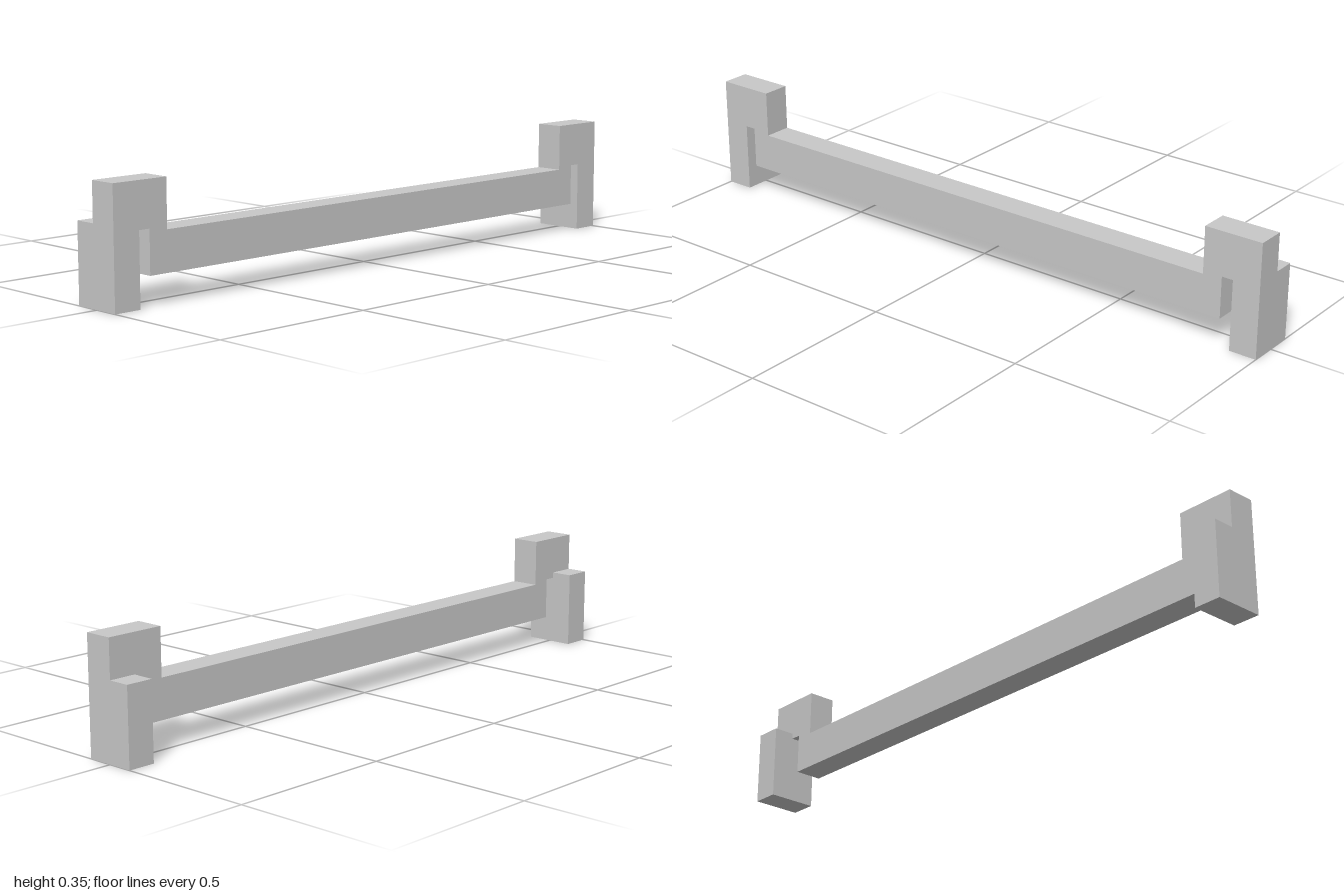
import * as THREE from 'three';

const FRONT = 0.078, STEP = -0.01, BACK = -0.078;

export function createModel() {
  const group = new THREE.Group();
  const grey = new THREE.MeshStandardMaterial({ color: 0xc8c8c8 });
  grey.name = 'lightGrey';

  // Right half of the frame outline: crossbar, slot, post and raised block
  const half = [
    [0.88, 0.087], [0.88, 0.215], [0.915, 0.215], [0.915, 0],
    [1, 0], [1, 0.349], [0.82, 0.349], [0.82, 0.206],
  ];
  const mirrored = half.map(([x, y]) => [-x, y]).reverse();
  const outline = [...half, ...mirrored].map(([x, y]) => new THREE.Vector2(x, y));
  const frame = new THREE.Mesh(
    new THREE.ExtrudeGeometry(new THREE.Shape(outline), { depth: FRONT - STEP, bevelEnabled: false }),
    grey,
  );
  frame.position.z = STEP;
  frame.name = 'crossbarFrame';
  group.add(frame);

  // Lower rear part of each foot
  for (const side of [-1, 1]) {
    const foot = new THREE.Mesh(new THREE.BoxGeometry(0.085, 0.233, STEP - BACK), grey);
    foot.position.set(side * 0.9575, 0.1165, (STEP + BACK) / 2);
    foot.name = side > 0 ? 'leftRearFoot' : 'rightRearFoot';
    group.add(foot);
  }
  return group;
}
